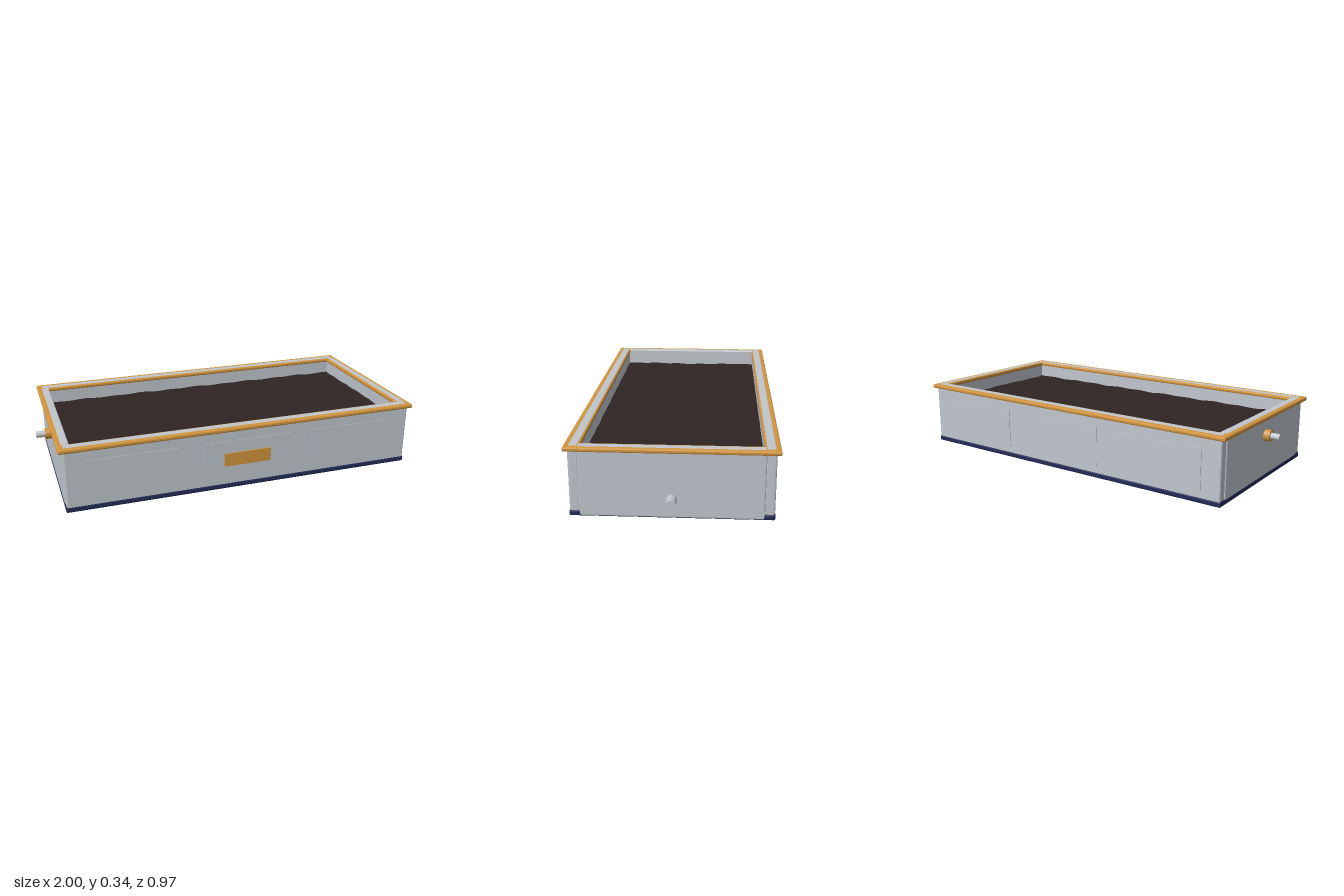
import * as THREE from 'three';
import { RoundedBoxGeometry } from 'three/addons/geometries/RoundedBoxGeometry.js';

const material = (name, color) => {
  const m = new THREE.MeshStandardMaterial({ color });
  m.name = name;
  return m;
};

export function createModel() {
  const model = new THREE.Group();
  model.name = 'planterTray';
  const grey = material('pale grey metal', 0xc0c6cd);
  const brass = material('brass', 0xd2953f);
  const navy = material('navy', 0x232b57);
  const earth = material('dark soil', 0x2e2423);

  const add = (name, geometry, mat) => {
    const mesh = new THREE.Mesh(geometry, mat);
    mesh.name = name;
    model.add(mesh);
    return mesh;
  };
  // Box given by its limits, with an optional flat chamfer
  const block = (name, mat, [x0, x1], [y0, y1], [z0, z1], chamfer = 0) => {
    const size = [x1 - x0, y1 - y0, z1 - z0];
    const g = chamfer ? new RoundedBoxGeometry(...size, 1, chamfer) : new THREE.BoxGeometry(...size);
    if (chamfer) g.computeVertexNormals();
    g.translate((x0 + x1) / 2, (y0 + y1) / 2, (z0 + z1) / 2);
    return add(name, g, mat);
  };
  const mirrorZ = (a, b, s) => (s > 0 ? [a, b] : [-b, -a]);

  // Base slab
  block('base', navy, [-0.924, 0.934], [0.001, 0.03], [-0.467, 0.467], 0.007);

  // Long walls, their raised panels and top rails
  for (const s of [1, -1]) {
    const side = s > 0 ? 'front' : 'back';
    block(side + 'Wall', grey, [-0.92, 0.93], [0.004, 0.341], mirrorZ(0.415, 0.465, s), 0.008);
    for (const x of [-0.585, 0.005, 0.595]) {
      block(side + 'Panel', grey, [x - 0.235, x + 0.235], [0.065, 0.265], mirrorZ(0.46, 0.468, s));
    }
    block(side + 'Rail', brass, [-0.943, 0.95], [0.318, 0.3402], mirrorZ(0.411, 0.483, s), 0.007);
  }
  // End walls and their top rails
  block('rightWall', grey, [-0.923, -0.88], [0.004, 0.341], [-0.42, 0.42], 0.006);
  block('leftWall', grey, [0.893, 0.935], [0.004, 0.341], [-0.42, 0.42], 0.006);
  block('rightRail', brass, [-0.943, -0.883], [0.318, 0.3402], [-0.42, 0.42], 0.007);
  block('leftRail', brass, [0.885, 0.95], [0.318, 0.3402], [-0.42, 0.42], 0.007);

  // Wall feet showing under the base
  block('backFoot', grey, [-0.91, 0.92], [0, 0.004], [-0.455, -0.428]);
  block('frontFoot', grey, [-0.91, 0.92], [0, 0.004], [0.447, 0.457]);
  block('rightFoot', grey, [-0.915, -0.903], [0, 0.004], [-0.428, 0.447]);

  // Slightly uneven soil
  const soil = new THREE.PlaneGeometry(1.79, 0.85, 60, 30).rotateX(-Math.PI / 2);
  const p = soil.attributes.position;
  for (let i = 0; i < p.count; i++) {
    const x = p.getX(i), z = p.getZ(i);
    p.setY(i, 0.25 + 0.002 * (Math.sin(x * 37 + z * 11) + Math.sin(z * 43 - x * 19)));
  }
  soil.computeVertexNormals();
  soil.translate(0.005, 0, 0);
  add('soil', soil, earth);

  // Front plate
  block('frontPlate', brass, [-0.12, 0.13], [0.13, 0.2], [0.467, 0.475]);

  // Inlet and outlet pipes, lying along x
  const pipe = (name, mat, radius, x0, x1, y, sides) => {
    const g = new THREE.CylinderGeometry(radius, radius, x1 - x0, sides).rotateZ(Math.PI / 2);
    add(name, g, mat).position.set((x0 + x1) / 2, y, 0);
  };
  pipe('inletPipe', grey, 0.017, -1, -0.9, 0.235, 24);
  pipe('inletCollar', brass, 0.029, -0.954, -0.915, 0.235, 24);
  pipe('outletPipe', grey, 0.024, 0.92, 1, 0.095, 32);

  return model;
}
